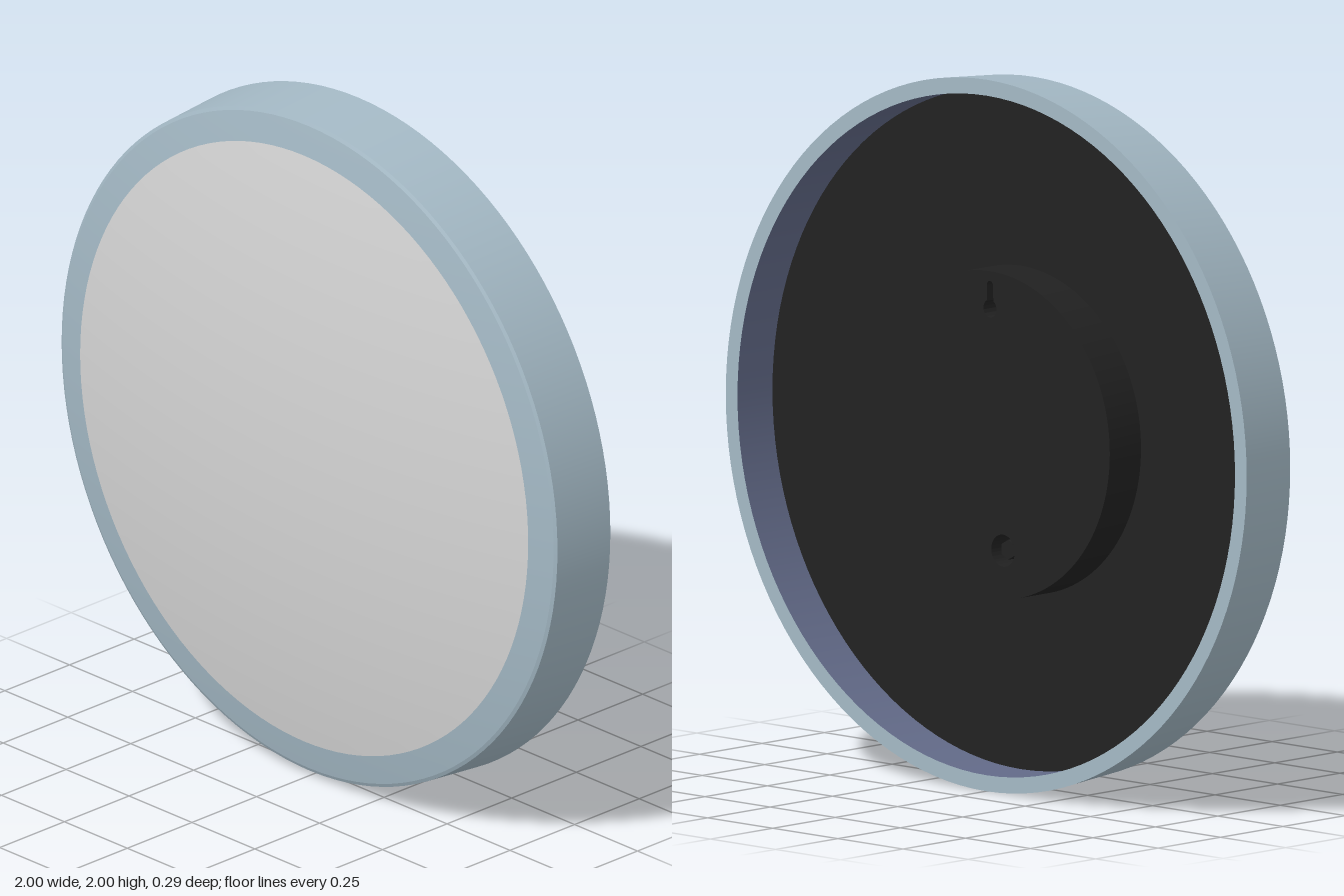
import * as THREE from 'three';
import { toCreasedNormals } from 'three/addons/utils/BufferGeometryUtils.js';

const SEG = 128;
const BACK = -0.145, LIP = 0.045, PLATE = -0.005, MOUNT = -0.13;

function material(name, color) {
  const m = new THREE.MeshStandardMaterial({ color });
  m.name = name;
  return m;
}

export function createModel() {
  const model = new THREE.Group();
  model.name = 'roundWallLamp';

  const blue = material('paleBlue', 0xa3b8c4);
  const grey = material('lightGrey', 0xd4d4d4);
  const slate = material('slateBlue', 0x626a88);
  const black = material('black', 0x212121);

  function add(name, geometry, mat) {
    const mesh = new THREE.Mesh(geometry, mat);
    mesh.name = name;
    mesh.position.y = 1;
    model.add(mesh);
    return mesh;
  }

  // Revolves [radius, z] pairs about the front-to-back axis
  function ring(name, profile, mat) {
    const points = profile.map(([r, z]) => new THREE.Vector2(r, z));
    return add(name, new THREE.LatheGeometry(points, SEG).rotateX(Math.PI / 2), mat);
  }

  // Shallow domed front, sampled from radius r0 in to r1
  function dome(r0, r1, steps) {
    const profile = [];
    for (let i = 0; i <= steps; i++) {
      const r = r0 + (r1 - r0) * i / steps;
      profile.push([r, 0.05 + 0.095 * (1 - (r / 0.975) ** 2)]);
    }
    return profile;
  }

  // Tapered rim
  ring('rimOuterWall', [[1, BACK], [0.985, LIP]], blue);
  ring('rimFrontLip', [[0.985, LIP], [0.975, 0.05]], blue);
  ring('rimBackEdge', [[0.955, BACK], [1, BACK]], blue);
  ring('rimInnerWall', [[0.955, PLATE], [0.955, BACK]], slate);

  // Domed front: coloured border around the diffuser
  ring('frontBorder', dome(0.975, 0.89, 6), blue);
  ring('diffuser', dome(0.89, 0, 28), grey);

  // Recessed back plate
  const plate = add('backPlate', new THREE.CircleGeometry(0.955, SEG).rotateY(Math.PI), black);
  plate.position.z = PLATE;

  // Mounting disc with a keyhole above and a round socket below
  const disc = new THREE.Shape().absarc(0, 0, 0.46, 0, Math.PI * 2);
  const keyhole = new THREE.Path();
  keyhole.moveTo(0.012, 0.42);
  keyhole.lineTo(0.012, 0.375);
  keyhole.absarc(0, 0.355, 0.025, Math.PI * 0.33, Math.PI * 0.67, true);
  keyhole.lineTo(-0.012, 0.42);
  keyhole.absarc(0, 0.42, 0.012, Math.PI, 0, true);
  const socket = new THREE.Path().absarc(-0.05, -0.32, 0.045, 0, Math.PI * 2, true);
  disc.holes.push(keyhole, socket);
  const discGeometry = new THREE.ExtrudeGeometry(disc, {
    depth: PLATE - MOUNT, bevelEnabled: false, curveSegments: 64,
  });
  add('mountingDisc', toCreasedNormals(discGeometry, 0.6), black).position.z = MOUNT;

  // Small fastener seated in the socket
  const screw = add('socketScrew', new THREE.CylinderGeometry(0.028, 0.028, 0.1, 6).rotateX(Math.PI / 2), black);
  screw.position.set(-0.05, 1 - 0.32, -0.06);

  return model;
}
